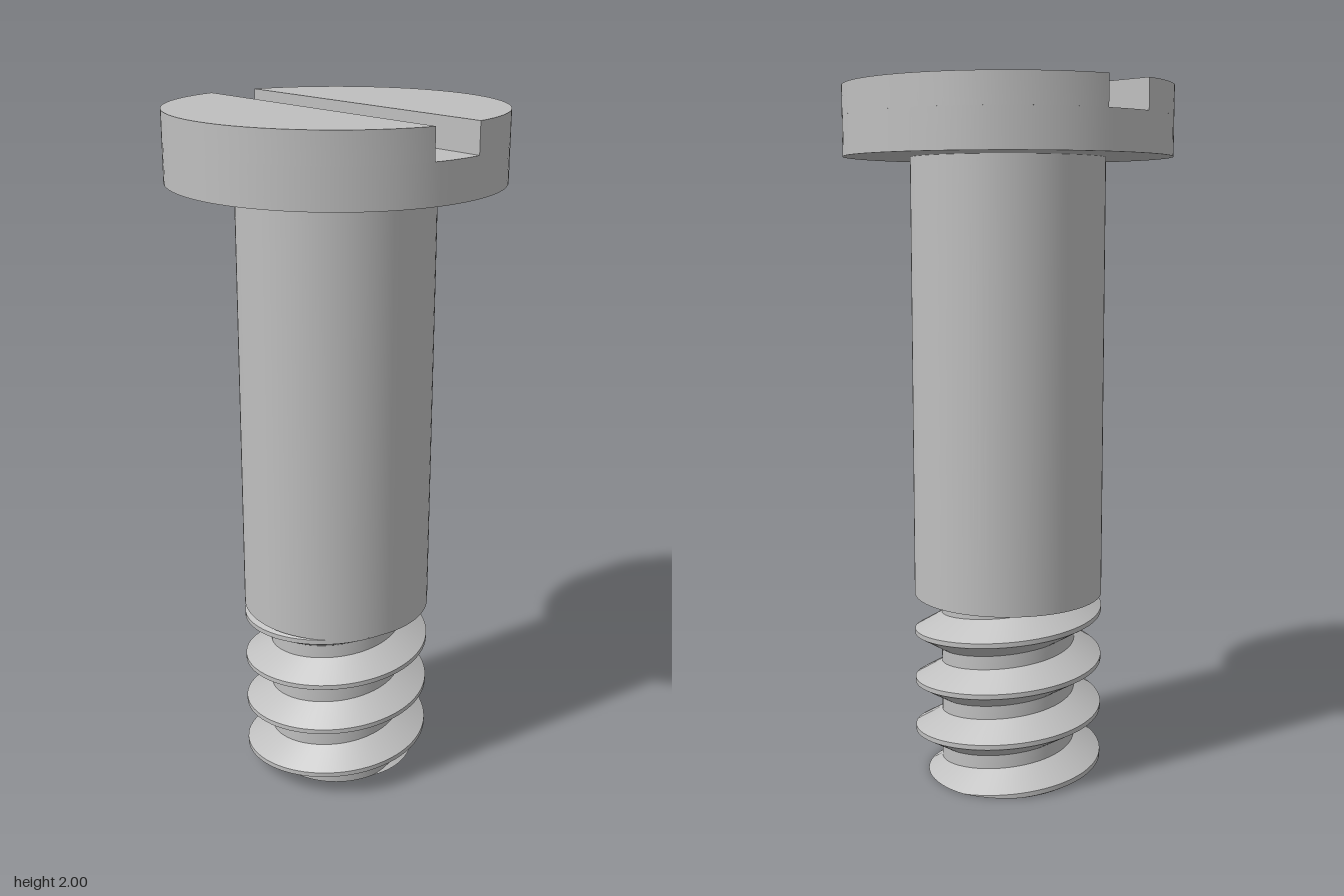
import * as THREE from 'three';
import { mergeGeometries, toCreasedNormals } from 'three/addons/utils/BufferGeometryUtils.js';

const HEAD_R = 0.467, HEAD_Y = 1.805, SLOT_Y = 1.915, TOP_Y = 2, SLOT_HALF = 0.077;
const SHANK_R = 0.278, SHANK_Y = 0.535;
const ROOT_R = 0.198, PITCH = 0.15, START = -0.015, STEPS = 72;

// One pitch of the thread section: [height offset from crest centre, radius]
const SECTION = [
  [-0.007, SHANK_R], [0.007, SHANK_R], [0.055, ROOT_R], [0.095, ROOT_R], [0.143, SHANK_R],
];
const helixY = (a) => START + PITCH * a / (2 * Math.PI);

function grid(points, index) {
  const g = new THREE.BufferGeometry();
  g.setAttribute('position', new THREE.Float32BufferAttribute(points, 3));
  g.setIndex(index);
  g.computeVertexNormals();
  return g;
}

// Helical strip between two section points, trimmed to the thread's length
function threadStrip([ya, ra], [yb, rb]) {
  const points = [], index = [], n = STEPS * 6;
  for (let i = 0; i <= n; i++) {
    const a = (i / STEPS - 2) * 2 * Math.PI;
    const low = helixY(a) + ya, high = helixY(a) + yb;
    for (const y of [low, high]) {
      const yc = THREE.MathUtils.clamp(y, 0, SHANK_Y);
      const t = THREE.MathUtils.clamp((yc - low) / (high - low), 0, 1);
      const r = ra + (rb - ra) * t;
      points.push(r * Math.cos(a), yc, -r * Math.sin(a));
    }
    if (i < n && high > -0.01 && low < SHANK_Y + 0.01) {
      const k = i * 2;
      index.push(k, k + 2, k + 3, k, k + 3, k + 1);
    }
  }
  return grid(points, index);
}

// Flat end of the thread, following the section cut at y = 0
function threadEnd() {
  const points = [0, 0, 0], index = [];
  for (let i = 0; i <= STEPS; i++) {
    const a = i / STEPS * 2 * Math.PI;
    const d = THREE.MathUtils.euclideanModulo(-helixY(a) + 0.007, PITCH) - 0.007;
    const s = Math.max(1, SECTION.findIndex(([y]) => y >= d));
    const [y0, r0] = SECTION[s - 1], [y1, r1] = SECTION[s];
    const r = r0 + (r1 - r0) * (d - y0) / (y1 - y0);
    points.push(r * Math.cos(a), 0, -r * Math.sin(a));
    if (i < STEPS) index.push(0, i + 2, i + 1);
  }
  return grid(points, index);
}

export function createModel() {
  const model = new THREE.Group();
  model.name = 'slottedShoulderScrew';
  const steel = new THREE.MeshStandardMaterial({ color: 0xbfbfbf });
  steel.name = 'steel grey';

  const add = (name, geometry, y = 0) => {
    const mesh = new THREE.Mesh(geometry, steel);
    mesh.name = name;
    mesh.position.y = y;
    model.add(mesh);
    return mesh;
  };
  const cylinder = (name, r, y0, y1) =>
    add(name, new THREE.CylinderGeometry(r, r, y1 - y0, 96), (y0 + y1) / 2);

  // Head: full disc below, two circle segments either side of the slot
  cylinder('headBase', HEAD_R, HEAD_Y, SLOT_Y);
  const half = Math.acos(SLOT_HALF / HEAD_R);
  const segment = new THREE.Shape();
  segment.absarc(0, 0, HEAD_R, -half, half, false);
  segment.closePath();
  const segmentGeometry = toCreasedNormals(
    new THREE.ExtrudeGeometry(segment, { depth: TOP_Y - SLOT_Y, bevelEnabled: false, curveSegments: 48 })
      .rotateX(-Math.PI / 2), 0.5);
  add('headLeftHalf', segmentGeometry, SLOT_Y);
  add('headRightHalf', segmentGeometry, SLOT_Y).rotation.y = Math.PI;

  // Plain shoulder
  cylinder('shank', SHANK_R, SHANK_Y, HEAD_Y);

  // Right-handed thread
  const strips = SECTION.slice(1).map((p, i) => threadStrip(SECTION[i], p));
  add('thread', mergeGeometries([...strips, threadEnd()]));

  return model;
}
